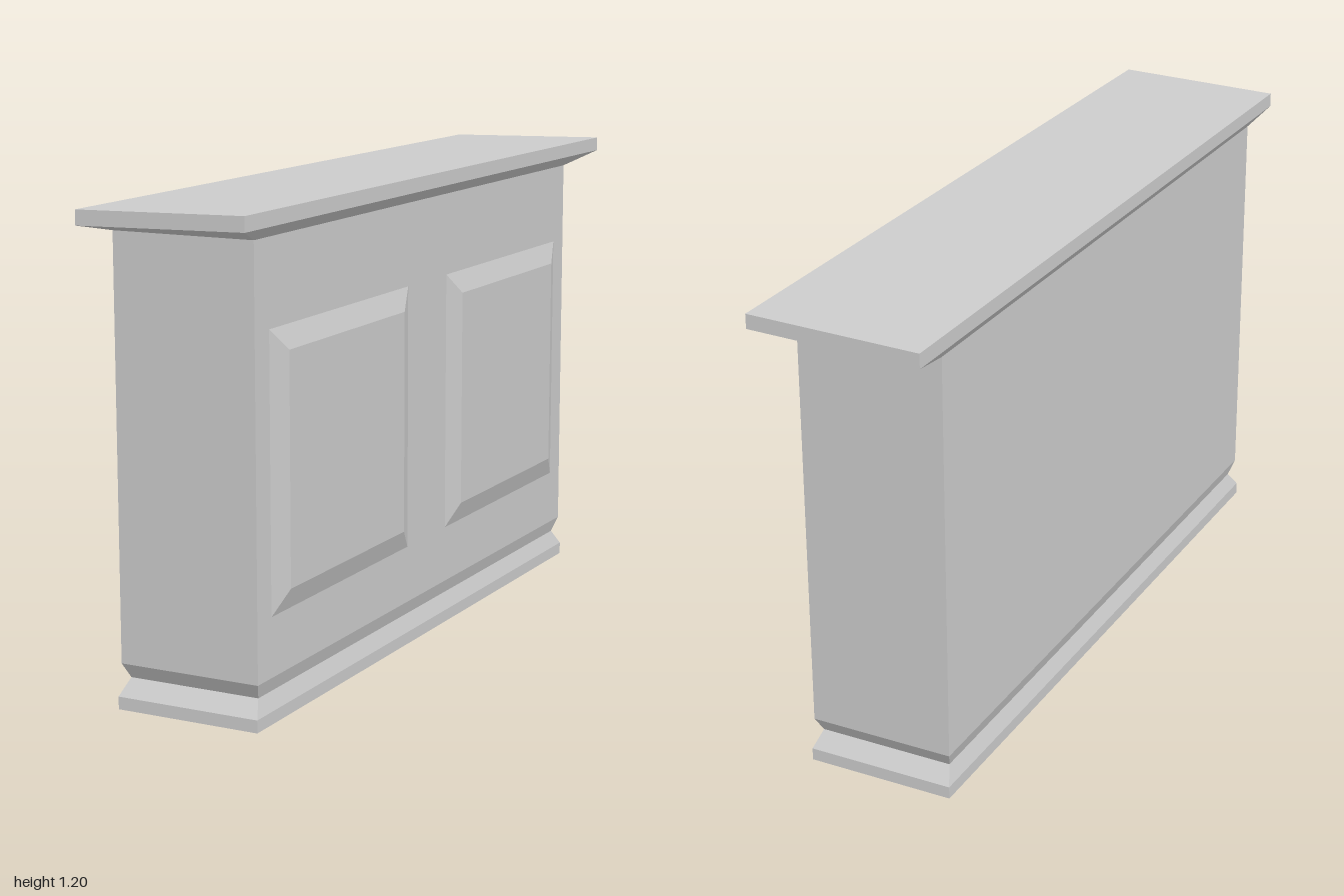
import * as THREE from 'three';

const paint = new THREE.MeshStandardMaterial({ name: 'pale grey', color: 0xcccccc });

// Joins four-cornered rings into a flat-faced skin, optionally closed at either end
function loft(name, rings, capStart, capEnd) {
  const pos = [];
  const quad = (a, b, c, d) => pos.push(...a, ...b, ...c, ...a, ...c, ...d);
  for (let i = 0; i < rings.length - 1; i++) {
    for (let j = 0; j < 4; j++) {
      const k = (j + 1) % 4;
      quad(rings[i][j], rings[i][k], rings[i + 1][k], rings[i + 1][j]);
    }
  }
  const first = rings[0], last = rings[rings.length - 1];
  if (capStart) quad(first[3], first[2], first[1], first[0]);
  if (capEnd) quad(...last);
  const geometry = new THREE.BufferGeometry();
  geometry.setAttribute('position', new THREE.Float32BufferAttribute(pos, 3));
  geometry.computeVertexNormals();
  const mesh = new THREE.Mesh(geometry, paint);
  mesh.name = name;
  return mesh;
}

// Horizontal ring; the height may differ between the -x and +x edges
const level = (x0, x1, z, y0, y1 = y0) =>
  [[x0, y0, z], [x1, y1, z], [x1, y1, -z], [x0, y0, -z]];

// Upright ring facing +x
const upright = (x, z0, z1, y0, y1) =>
  [[x, y0, z1], [x, y0, z0], [x, y1, z0], [x, y1, z1]];

export function createModel() {
  const group = new THREE.Group();
  group.name = 'counter';

  const neck = level(-0.19, 0.153, 0.853, 0.072);
  const bodyBottom = level(-0.202, 0.165, 0.875, 0.11);
  const bodyTop = level(-0.202, 0.165, 0.875, 1.13);

  // Stepped foot moulding
  group.add(loft('plinth', [
    level(-0.206, 0.168, 0.885, 0),
    level(-0.206, 0.168, 0.885, 0.031),
    neck,
  ], true, false));

  // Cabinet with its chamfered lower edge
  group.add(loft('body', [neck, bodyBottom, bodyTop], false, false));

  // Overhanging, slightly sloping top
  group.add(loft('counterTop', [
    bodyTop,
    level(-0.218, 0.215, 1, 1.154, 1.164),
    level(-0.218, 0.215, 1, 1.19, 1.2),
  ], false, true));

  // Raised bevelled panels on the +x side
  for (const z of [0.46, -0.46]) {
    group.add(loft('raisedPanel', [
      upright(0.165, z - 0.35, z + 0.35, 0.255, 0.922),
      upright(0.184, z - 0.292, z + 0.292, 0.31, 0.868),
    ], false, true));
  }
  return group;
}
